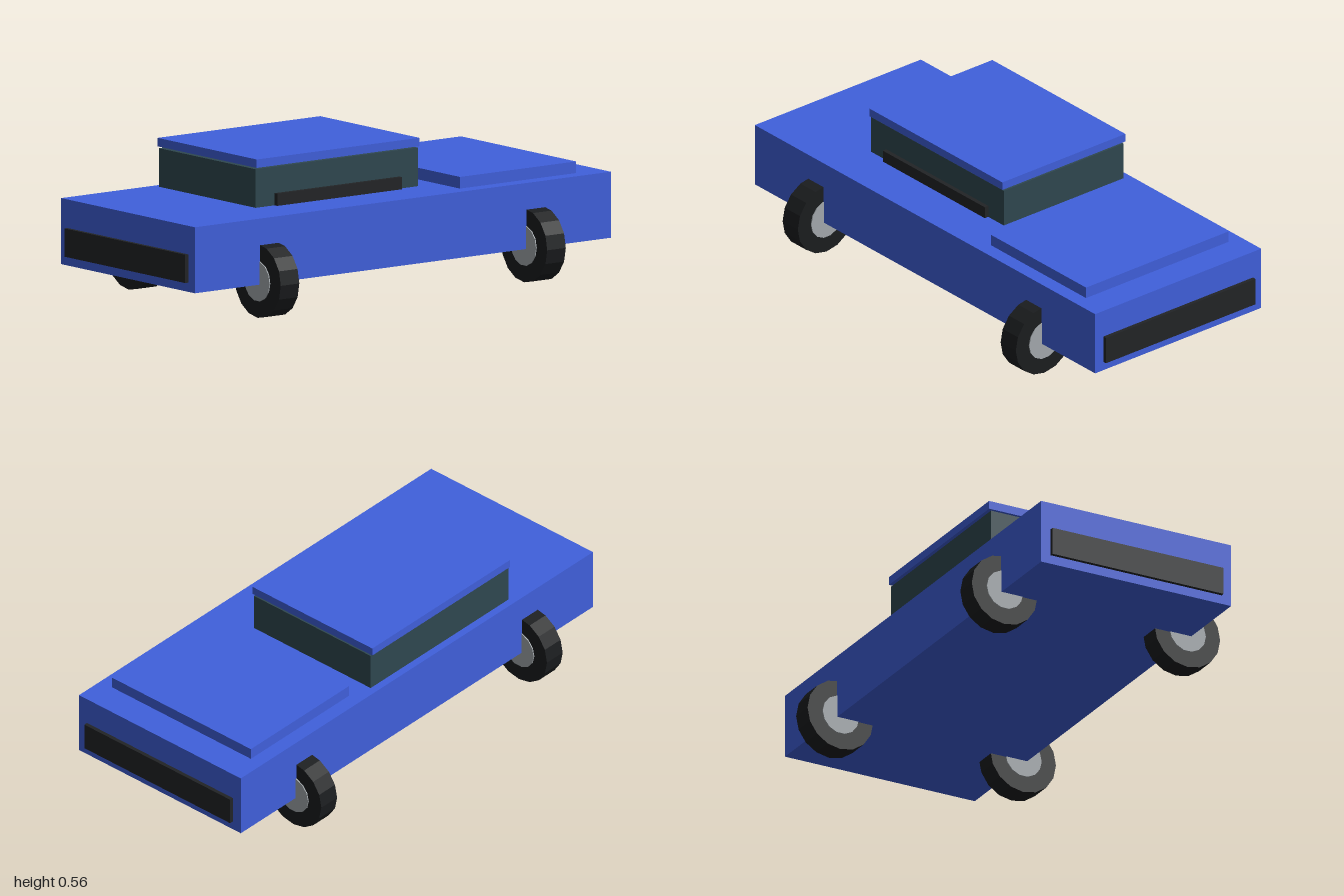
import * as THREE from 'three';

const paint = (color) => new THREE.MeshStandardMaterial({ color, flatShading: true });

export function createModel() {
  const car = new THREE.Group();
  car.name = 'car';
  const blue = paint(0x4060dc), glass = paint(0x2f4850), black = paint(0x222426);
  const rubber = paint(0x1b1d1f), metal = paint(0xa4aaae);

  // Box given by its lower and upper corners
  function box(name, material, [x0, y0, z0], [x1, y1, z1]) {
    const mesh = new THREE.Mesh(new THREE.BoxGeometry(x1 - x0, y1 - y0, z1 - z0), material);
    mesh.position.set((x0 + x1) / 2, (y0 + y1) / 2, (z0 + z1) / 2);
    mesh.name = name;
    car.add(mesh);
  }

  // Body, cabin and raised lid
  box('body', blue, [-0.985, 0.128, -0.405], [0.985, 0.378, 0.405]);
  box('cabin', glass, [-0.545, 0.378, -0.375], [0.225, 0.524, 0.21]);
  box('roof', blue, [-0.545, 0.53, -0.383], [0.225, 0.562, 0.217]);
  box('hood', blue, [0.315, 0.378, -0.348], [0.865, 0.422, 0.348]);
  box('cabinStrip', black, [-0.455, 0.378, 0.205], [0.135, 0.424, 0.227]);

  // Panels on both ends
  box('leftEndPanel', black, [0.97, 0.163, -0.365], [1, 0.27, 0.365]);
  box('rightEndPanel', black, [-1, 0.163, -0.365], [-0.97, 0.27, 0.365]);

  // Wheels, with axles along x and hubs standing slightly proud
  const tyreShape = new THREE.CylinderGeometry(0.14, 0.14, 0.088, 16).rotateZ(Math.PI / 2);
  const hubShape = new THREE.CylinderGeometry(0.077, 0.077, 0.096, 14).rotateZ(Math.PI / 2);
  for (const x of [-0.632, 0.63]) {
    for (const z of [-0.39, 0.39]) {
      const wheel = new THREE.Group();
      wheel.name = (z > 0 ? 'front' : 'back') + (x > 0 ? 'Left' : 'Right') + 'Wheel';
      const tyre = new THREE.Mesh(tyreShape, rubber);
      tyre.name = 'tyre';
      const hub = new THREE.Mesh(hubShape, metal);
      hub.name = 'hub';
      wheel.add(tyre, hub);
      wheel.position.set(x, 0.14, z);
      car.add(wheel);
    }
  }
  return car;
}
